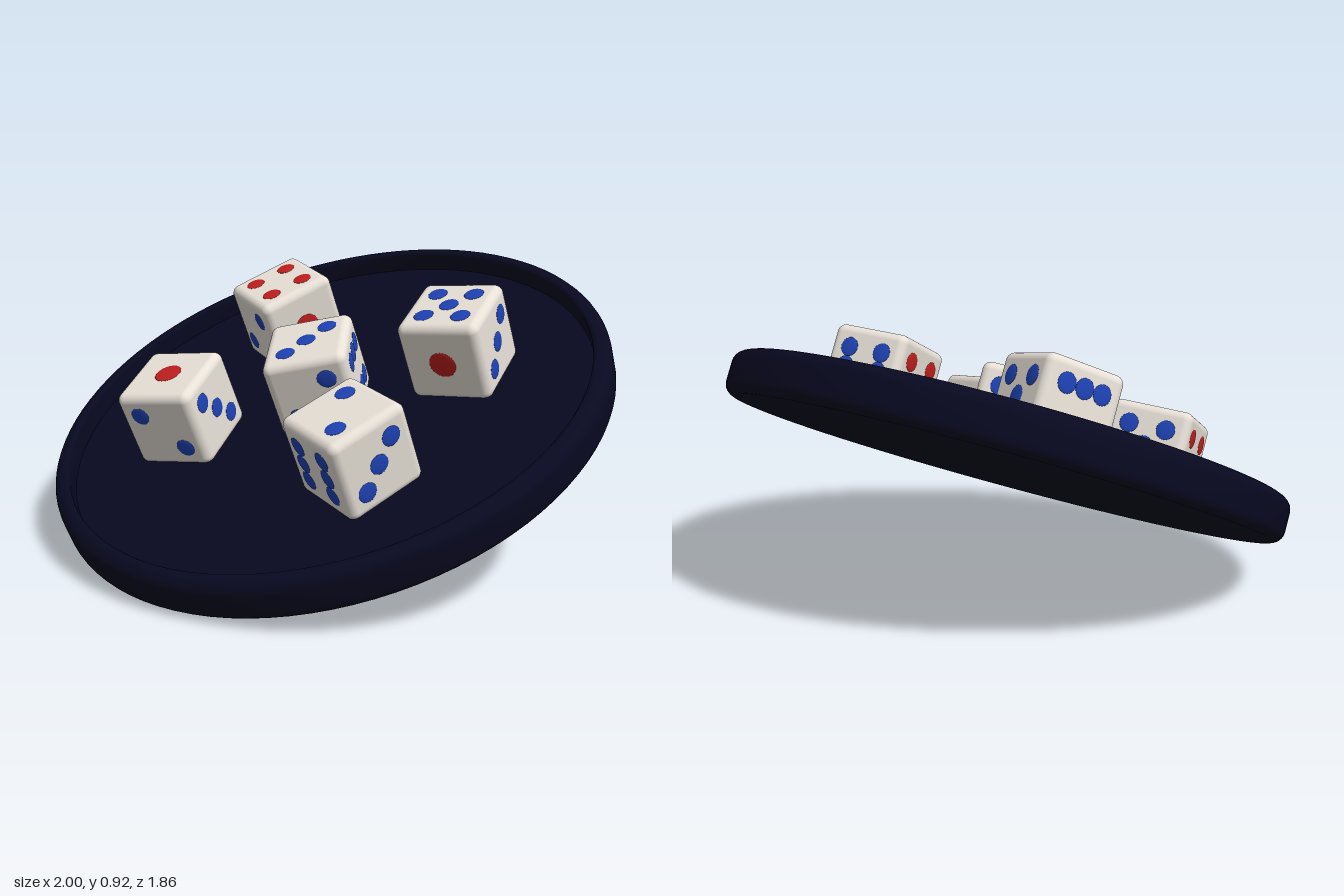
import * as THREE from 'three';
import { toCreasedNormals } from 'three/addons/utils/BufferGeometryUtils.js';
import { RoundedBoxGeometry } from 'three/addons/geometries/RoundedBoxGeometry.js';

const TILT = THREE.MathUtils.degToRad(24);
const SIZE = 0.293;     // die edge
const DIE_HEIGHT = 0.135; // die centre above the floor, slightly sunk in
const SPREAD = 0.067;   // pip distance from the face centre
const QUARTER = Math.PI / 2;

function material(name, color) {
  const m = new THREE.MeshStandardMaterial({ color });
  m.name = name;
  return m;
}

// Each face: axis of its normal, sign, pip colour and pip places on the other two axes (in x, y, z order)
const CORNERS = [[-1, -1], [-1, 1], [1, -1], [1, 1]];
const FACES = [
  { axis: 1, sign: 1, red: true, radius: 0.048, pips: [[0, 0]] },
  { axis: 2, sign: 1, pips: [[-1, 1], [1, -1]] },
  { axis: 0, sign: 1, pips: [[1, 1], [0, 0], [-1, -1]] },
  { axis: 0, sign: -1, red: true, pips: CORNERS },
  { axis: 2, sign: -1, pips: [...CORNERS, [0, 0]] },
  { axis: 1, sign: -1, pips: [...CORNERS, [-1, 0], [1, 0]] },
];

export function createModel() {
  const navy = material('navy', 0x080820);
  const ivory = material('ivory', 0xf3ece2);
  const red = material('red', 0xbe1e1e);
  const blue = material('blue', 0x1e42b4);

  const model = new THREE.Group();
  model.name = 'diceTray';
  const tilted = new THREE.Group();
  tilted.name = 'tiltedTray';
  tilted.position.y = 0.463;
  tilted.rotation.x = TILT;
  model.add(tilted);

  // Round tray with a raised, softly rounded rim and a sunken floor
  const profile = [new THREE.Vector2(0, -0.075)];
  const arc = (cx, cy, r, from, to, n) => {
    for (let i = 0; i <= n; i++) {
      const a = from + ((to - from) * i) / n;
      profile.push(new THREE.Vector2(cx + r * Math.cos(a), cy + r * Math.sin(a)));
    }
  };
  arc(0.96, -0.035, 0.04, -QUARTER, 0, 6);
  arc(0.96, 0.035, 0.04, 0, QUARTER, 6);
  arc(0.95, 0.065, 0.01, QUARTER, Math.PI, 3);
  profile.push(new THREE.Vector2(0.94, 0), new THREE.Vector2(0, 0));
  const tray = new THREE.Mesh(toCreasedNormals(new THREE.LatheGeometry(profile, 96), 0.6), navy);
  tray.name = 'tray';
  tilted.add(tray);

  // Shared die parts
  const bodyGeometry = new RoundedBoxGeometry(SIZE, SIZE, SIZE, 5, 0.03);
  const pipGeometry = new THREE.SphereGeometry(1, 20, 12);

  function makeDie() {
    const die = new THREE.Group();
    const body = new THREE.Mesh(bodyGeometry, ivory);
    body.name = 'dieBody';
    die.add(body);
    for (const { axis, sign, pips, red: isRed, radius = 0.034 } of FACES) {
      const others = [0, 1, 2].filter((a) => a !== axis);
      for (const place of pips) {
        const pip = new THREE.Mesh(pipGeometry, isRed ? red : blue);
        pip.name = 'pip';
        pip.position.setComponent(axis, (sign * SIZE) / 2);
        others.forEach((a, i) => pip.position.setComponent(a, place[i] * SPREAD));
        pip.scale.setScalar(radius).setComponent(axis, 0.004);
        die.add(pip);
      }
    }
    return die;
  }

  // Dice: place on the floor, turn in degrees, then the roll that brings the upper face up
  const dice = [
    ['frontRightDie', -0.39, 0.314, 16, 0, 0],
    ['frontLeftDie', 0.39, 0.314, -17, -QUARTER, 0],
    ['middleDie', 0, 0.003, 32, 0, QUARTER],
    ['backRightDie', -0.39, -0.312, -22, 0, -QUARTER],
    ['backLeftDie', 0.39, -0.311, 12, QUARTER, 0],
  ];
  for (const [name, x, z, turn, rollX, rollZ] of dice) {
    const die = makeDie();
    die.name = name;
    die.position.set(x, DIE_HEIGHT, z);
    die.rotation.set(rollX, THREE.MathUtils.degToRad(turn), rollZ, 'YXZ');
    tilted.add(die);
  }

  return model;
}
